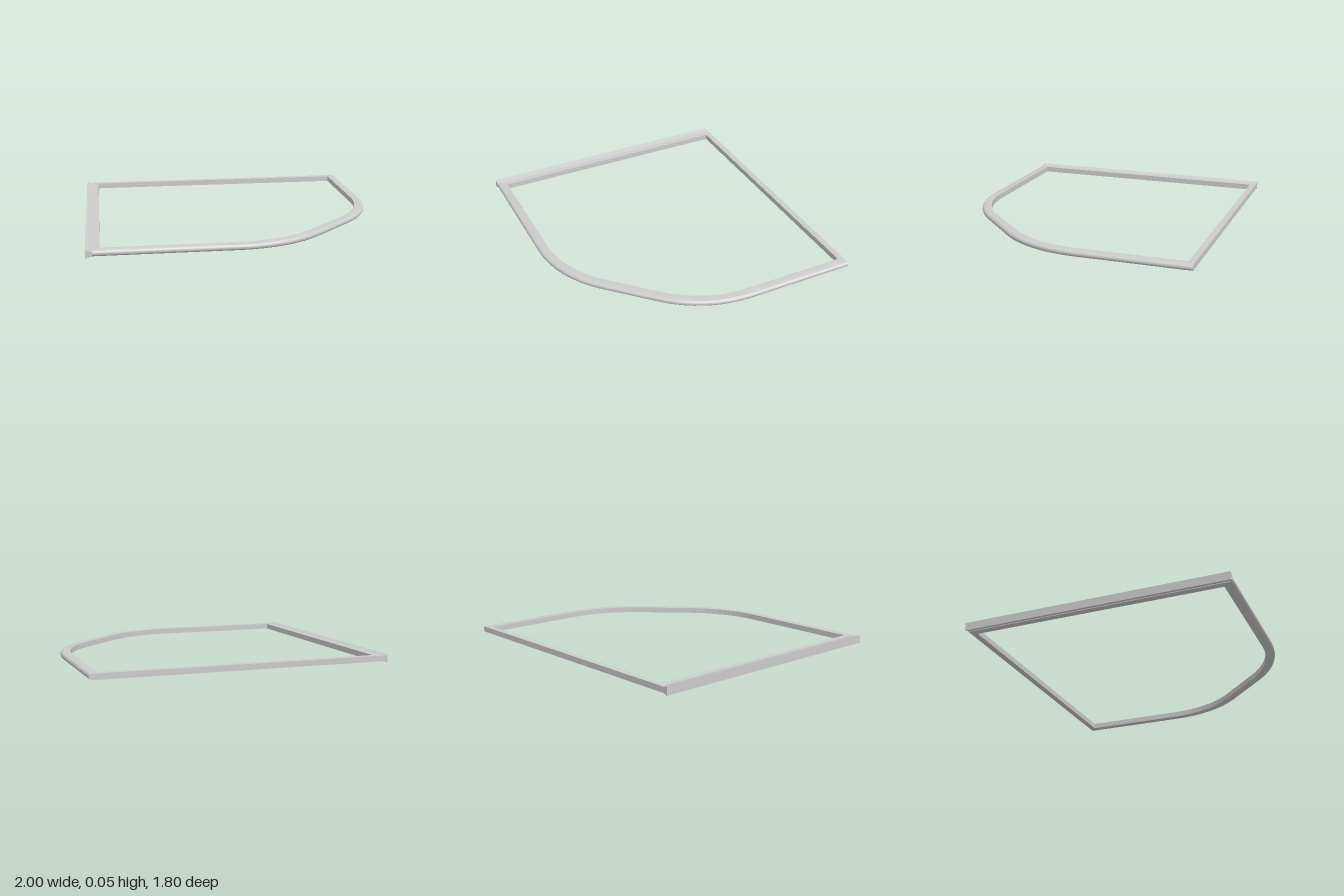
import * as THREE from 'three';
import { toCreasedNormals } from 'three/addons/utils/BufferGeometryUtils.js';

const Y0 = 0.01, Y1 = 0.048;       // bottom and top of the rails
const WIDTH = 0.065, R = 0.775;    // rounded rail width, outer bend radius
const JOIN = -0.957;               // where the dovetail strip meets the frame
const BACK = -0.9, FRONT = 0.9;

// Sweeps a closed (d, y) profile through stations; d is measured outward from the outer edge
function sweep(profile, stations) {
  const n = profile.length, pos = [], idx = [];
  for (const { x, z, a } of stations) {
    for (const [d, y] of profile) {
      pos.push(x + Math.sin(a) * (R + d), y, z + Math.cos(a) * (R + d));
    }
  }
  for (let j = 0; j < stations.length - 1; j++) {
    for (let i = 0; i < n; i++) {
      const k = (i + 1) % n, p = j * n, q = p + n;
      idx.push(p + i, q + i, p + k, q + i, q + k, p + k);
    }
  }
  const last = (stations.length - 1) * n;
  for (let i = 1; i < n - 1; i++) {
    idx.push(0, i, i + 1, last, last + i + 1, last + i);
  }
  const g = new THREE.BufferGeometry();
  g.setAttribute('position', new THREE.Float32BufferAttribute(pos, 3));
  g.setIndex(idx);
  return toCreasedNormals(g, 0.6);
}

export function createModel() {
  const group = new THREE.Group();
  const material = new THREE.MeshStandardMaterial({ color: 0xcccccc });
  const add = (name, geometry) => {
    const mesh = new THREE.Mesh(geometry, material);
    mesh.name = name;
    group.add(mesh);
    return mesh;
  };
  const rail = (name, x0, x1, z0, z1) =>
    add(name, new THREE.BoxGeometry(x1 - x0, Y1 - Y0, z1 - z0))
      .position.set((x0 + x1) / 2, (Y0 + Y1) / 2, (z0 + z1) / 2);

  // Rounded rail: front, two 45 degree bends with a diagonal between, then the left side
  const r = (Y1 - Y0) / 2, profile = [[-WIDTH, Y0]];
  for (let i = 0; i <= 10; i++) {
    const t = -Math.PI / 2 + (Math.PI * i) / 10;
    profile.push([-r + r * Math.cos(t), Y0 + r + r * Math.sin(t)]);
  }
  profile.push([-WIDTH, Y1]);

  const stations = [{ x: JOIN, z: FRONT - R, a: 0 }];
  const bends = [[-0.05, FRONT - R, 0], [1 - R, -0.15, Math.PI / 4]];
  for (const [x, z, start] of bends) {
    for (let i = 0; i <= 8; i++) stations.push({ x, z, a: start + (Math.PI / 4) * (i / 8) });
  }
  stations.push({ x: 1 - R, z: BACK, a: Math.PI / 2 });
  add('roundedRail', sweep(profile, stations));

  // Square rails along the back and the right side
  rail('backRail', JOIN, 1 - WIDTH, BACK, BACK + 0.042);
  rail('sideRail', JOIN, -0.912, BACK + 0.042, FRONT - WIDTH);

  // Dovetail strip flaring away from the side rail
  const wedge = new THREE.Shape([
    new THREE.Vector2(-1, 0), new THREE.Vector2(JOIN, 0.015),
    new THREE.Vector2(JOIN, 0.041), new THREE.Vector2(-1, 0.055),
  ]);
  add('dovetailStrip', new THREE.ExtrudeGeometry(wedge, { depth: FRONT - BACK, bevelEnabled: false }))
    .position.z = BACK;

  return group;
}
